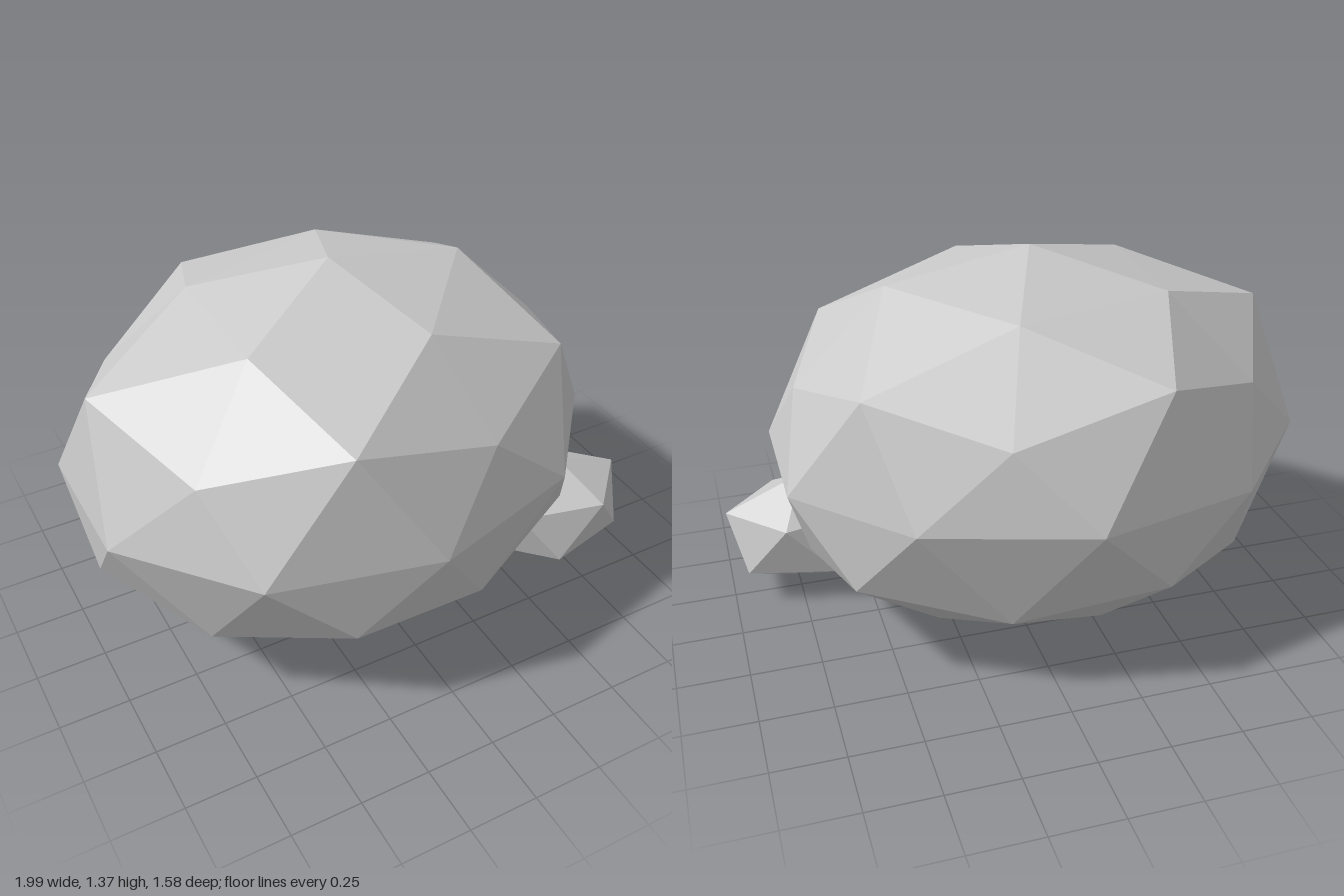
import * as THREE from 'three';
import { ConvexGeometry } from 'three/addons/geometries/ConvexGeometry.js';

const stone = new THREE.MeshStandardMaterial({ color: 0xcacaca, flatShading: true });
stone.name = 'stone grey';

// Point on an elliptical ring: azimuth in degrees (0 = +x, 90 = +z), r is a factor of the radii
const ringPoint = (c, rx, rz, deg, r, y) => {
  const a = THREE.MathUtils.degToRad(deg);
  return new THREE.Vector3(c.x + rx * r * Math.cos(a), y, c.z + rz * r * Math.sin(a));
};

// Faceted boulder: two five-fold caps meeting at a ten-sided equator
function boulderGeometry() {
  const c = new THREE.Vector3(-0.078, 0, 0);
  const at = (deg, r, y) => ringPoint(c, 0.95, 0.79, deg, r, y);
  const cos = (deg) => Math.cos(THREE.MathUtils.degToRad(deg));

  // Slightly uneven equator heights, mirrored front to back, from +x to -x
  const equatorY = [0.677, 0.695, 0.687, 0.68, 0.692];
  const equator = (deg) => {
    const fromRight = Math.acos(cos(deg)) * THREE.MathUtils.RAD2DEG;
    return at(deg, 1.003 - 0.012 * cos(deg), equatorY[Math.round((fromRight - 18) / 36)]);
  };

  const top = {
    offset: 0, pole: at(0, 0, 1.37),
    inner: (d) => at(d, 0.526, 1.248 + 0.027 * Math.max(0, cos(d)) ** 3),
    corner: (d) => at(d, 0.865, 0.95),
    middle: (d) => at(d, 0.88 - 0.017 * cos(d), Math.min(1.1, 1.085 - 0.03 * cos(d))),
  };
  const bottom = {
    offset: 36, pole: at(0, 0, 0),
    inner: (d) => at(d, 0.526, 0.097),
    corner: (d) => at(d, 0.937, 0.4),
    middle: (d) => at(d, 0.851, 0.315),
  };

  const points = [];
  for (const cap of [top, bottom]) {
    for (let k = 0; k < 5; k++) {
      const d = cap.offset + 72 * k;
      const p0 = cap.inner(d), p1 = cap.inner(d + 72);
      const c0 = cap.corner(d), c1 = cap.corner(d + 72);
      const m = cap.middle(d + 36);
      const e0 = equator(d - 18), e1 = equator(d + 18), e2 = equator(d + 54);
      const faces = [
        [cap.pole, p0, p1], [p0, c0, m], [p0, m, p1], [p1, m, c1],
        [c0, e1, m], [m, e1, e2], [m, e2, c1], [c0, e0, e1],
      ];
      for (const f of faces) points.push(...(cap === top ? f.reverse() : f));
    }
  }
  const g = new THREE.BufferGeometry().setFromPoints(points);
  g.computeVertexNormals();
  return g;
}

// Small stretched icosahedron standing on its tip
function pebbleGeometry() {
  const c = new THREE.Vector3(0.716, 0.235, 0.295);
  const points = [new THREE.Vector3(c.x, 0.458, c.z), new THREE.Vector3(c.x, 0.014, c.z)];
  for (let k = 0; k < 5; k++) {
    points.push(ringPoint(c, 0.284, 0.212, 72 * k, 1, 0.335));
    points.push(ringPoint(c, 0.284, 0.212, 72 * k + 36, 1, 0.137));
  }
  return new ConvexGeometry(points);
}

export function createModel() {
  const model = new THREE.Group();
  model.name = 'rocks';
  const parts = { boulder: boulderGeometry(), pebble: pebbleGeometry() };
  for (const [name, geometry] of Object.entries(parts)) {
    const mesh = new THREE.Mesh(geometry, stone);
    mesh.name = name;
    model.add(mesh);
  }
  return model;
}
